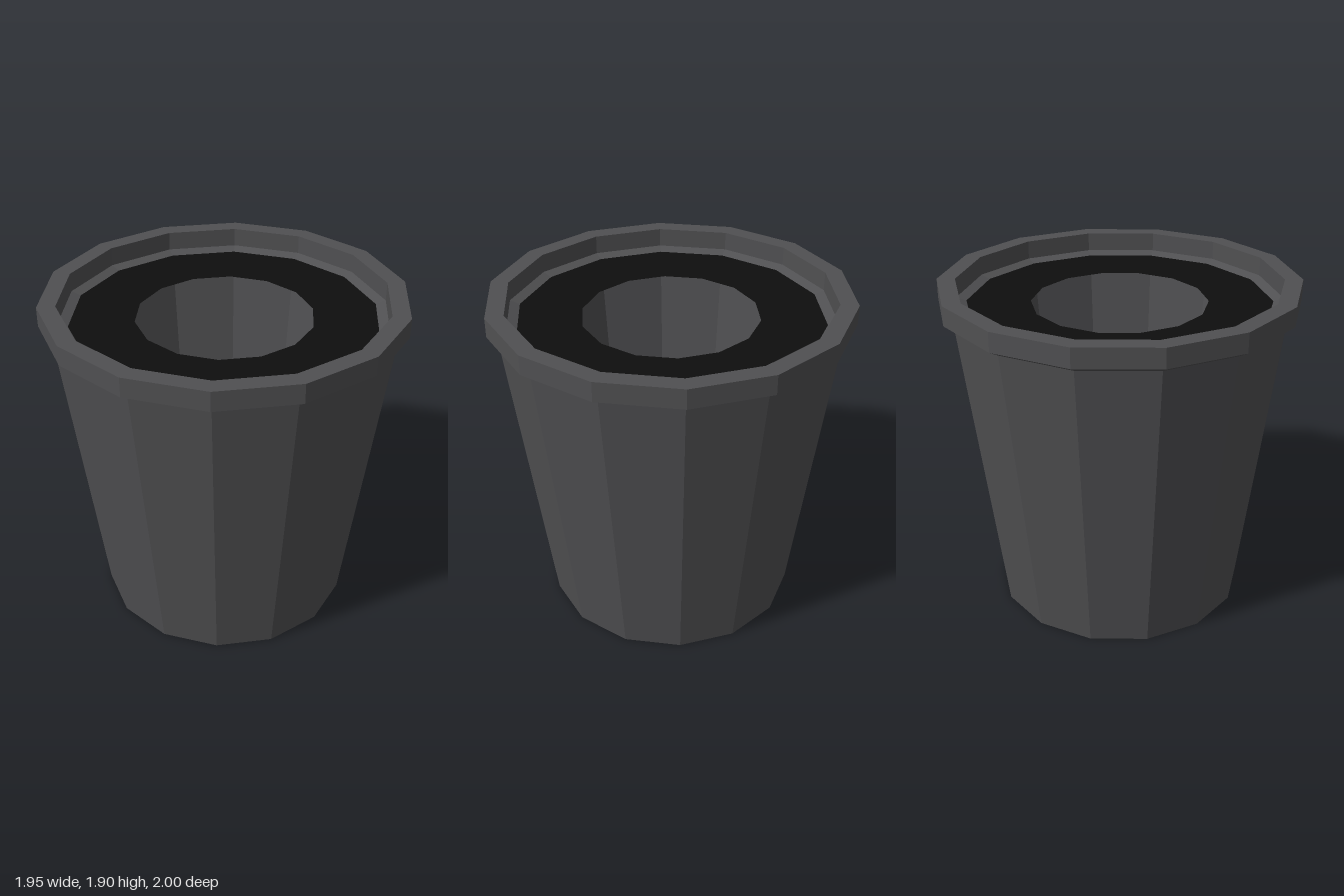
import * as THREE from 'three';

const SIDES = 14;

// Faceted solid of revolution from [radius, height] pairs
function turned(name, profile, color) {
  const points = profile.map(([r, y]) => new THREE.Vector2(r, y));
  const material = new THREE.MeshStandardMaterial({ color, flatShading: true, side: THREE.DoubleSide });
  const mesh = new THREE.Mesh(new THREE.LatheGeometry(points, SIDES), material);
  mesh.name = name;
  return mesh;
}

export function createModel() {
  const group = new THREE.Group();
  group.name = 'plantPot';

  // Tapered pot: base, outer wall, rim, inner ledge, inner wall, floor
  group.add(turned('pot', [
    [0, 0], [0.725, 0],
    [0.943, 1.755], [1, 1.787], [1, 1.896],
    [0.9, 1.896], [0.9, 1.79], [0.845, 1.77],
    [0.65, 0.06], [0, 0.06],
  ], 0x505052));

  // Flat ring of soil with an open planting hole
  group.add(turned('soilRing', [[0.845, 1.772], [0.49, 1.772]], 0x0e0e0e));

  return group;
}
